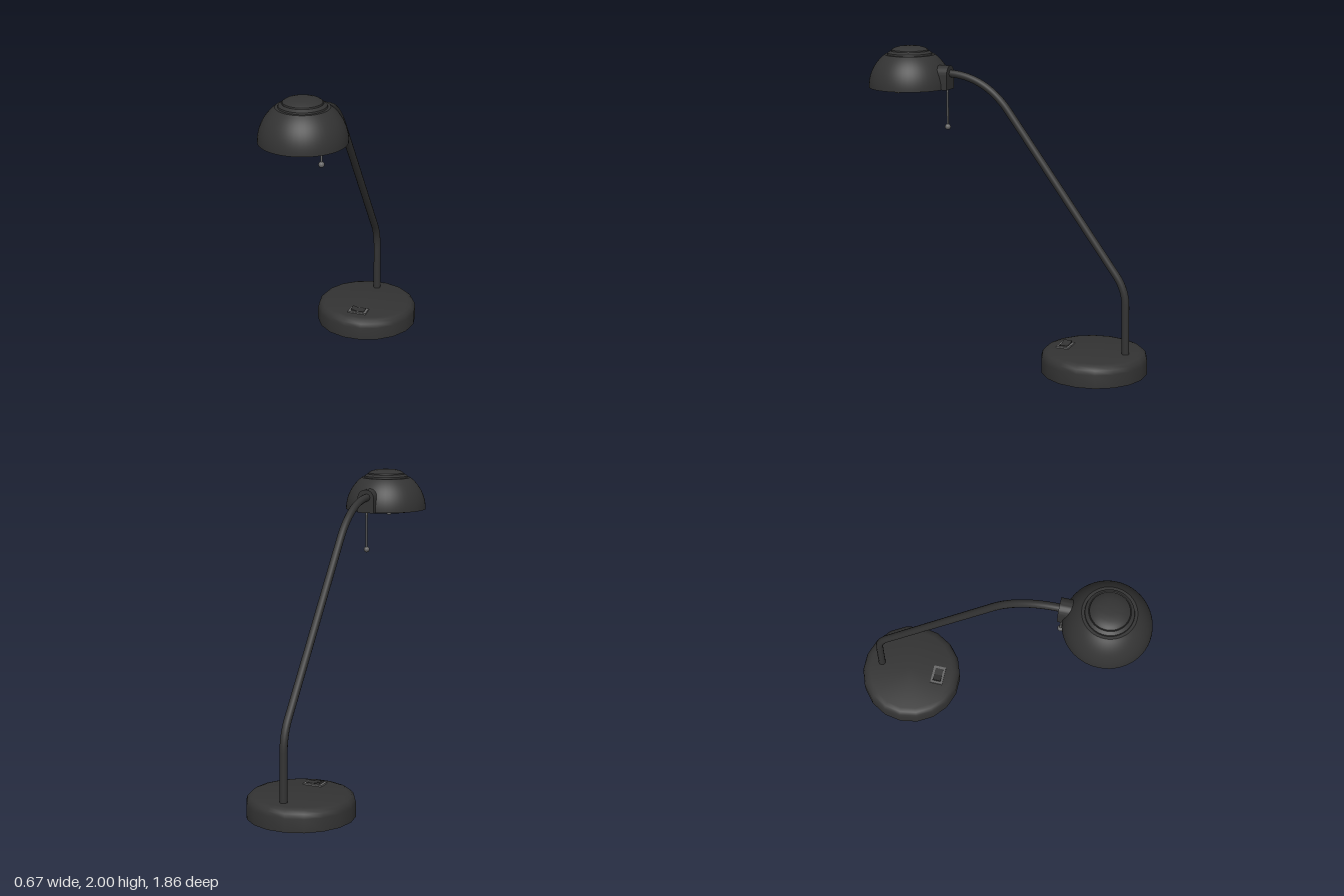
import * as THREE from 'three';
import { toCreasedNormals } from 'three/addons/utils/BufferGeometryUtils.js';

const dark = new THREE.MeshStandardMaterial({ color: 0x333333 });
const darkOpen = new THREE.MeshStandardMaterial({ color: 0x333333, side: THREE.DoubleSide });
const black = new THREE.MeshStandardMaterial({ color: 0x060606 });
const grey = new THREE.MeshStandardMaterial({ color: 0x666666 });

export function createModel() {
  const group = new THREE.Group();

  function add(name, geometry, material, x = 0, y = 0, z = 0) {
    const mesh = new THREE.Mesh(geometry, material);
    mesh.name = name;
    mesh.position.set(x, y, z);
    group.add(mesh);
    return mesh;
  }

  // Turned part from [radius, height] pairs, with a corner on the x axis
  function lathe(profile, sides) {
    const points = profile.map(([r, y]) => new THREE.Vector2(r, y));
    return toCreasedNormals(new THREE.LatheGeometry(points, sides, Math.PI / 2), 0.6);
  }

  // Heavy 18-sided foot with a rounded top edge
  add('base', lathe([
    [0, 0], [0.337, 0], [0.337, 0.085], [0.33, 0.113], [0.312, 0.132], [0.285, 0.14], [0, 0.14],
  ], 18), dark, 0, 0, -0.6);

  // Rocker switch on the foot
  const switchZ = -0.407;
  add('switchPlate', new THREE.BoxGeometry(0.125, 0.012, 0.083), grey, 0, 0.143, switchZ);
  const rockerShape = new THREE.Shape();
  rockerShape.moveTo(-0.045, 0);
  rockerShape.lineTo(0.045, 0);
  rockerShape.lineTo(0.045, 0.008);
  rockerShape.lineTo(0, 0.005);
  rockerShape.lineTo(-0.045, 0.018);
  rockerShape.closePath();
  const rocker = new THREE.ExtrudeGeometry(rockerShape, { depth: 0.054, bevelEnabled: false });
  add('switchRocker', rocker, dark, 0, 0.146, switchZ - 0.027);

  // Bent arm: upright, lower bend, long slope, sweeping upper bend
  const armX = 0.01;
  const p = (z, y) => new THREE.Vector3(armX, y, z);
  const path = new THREE.CurvePath();
  path.add(new THREE.LineCurve3(p(-0.81, 0.12), p(-0.804, 0.45)));
  path.add(new THREE.QuadraticBezierCurve3(p(-0.804, 0.45), p(-0.802, 0.555), p(-0.74, 0.64)));
  path.add(new THREE.LineCurve3(p(-0.74, 0.64), p(-0.02, 1.62)));
  path.add(new THREE.CubicBezierCurve3(p(-0.02, 1.62), p(0.07, 1.742), p(0.2, 1.84), p(0.4, 1.84)));
  add('arm', new THREE.TubeGeometry(path, 90, 0.024, 12), dark);

  // Arched bracket joining the arm and the shade
  const mountX = 0.017;
  const arch = new THREE.Shape();
  arch.moveTo(-0.057, 0);
  arch.lineTo(0.057, 0);
  arch.lineTo(0.057, 0.093);
  arch.absarc(0, 0.093, 0.057, 0, Math.PI, false);
  arch.closePath();
  const mount = new THREE.ExtrudeGeometry(arch, { depth: 0.075, bevelEnabled: false, curveSegments: 12 });
  add('shadeMount', toCreasedNormals(mount, 0.6), dark, mountX, 1.74, 0.375);

  // Domed shade: recessed underside, lip, dome, stepped cap
  const headZ = 0.665;
  const profile = [[0.15, 1.765], [0.243, 1.765], [0.25, 1.74]];
  const domeSteps = 12;
  for (let i = 0; i <= domeSteps; i++) {
    const a = (i / domeSteps) * 0.92;
    profile.push([0.264 * Math.cos(a), 1.74 + 0.26 * Math.sin(a)]);
  }
  profile.push(
    [0.143, 1.947], [0.141, 1.957], [0.122, 1.97], [0.118, 1.968],
    [0.116, 1.977], [0.1, 1.987], [0.07, 1.996], [0.035, 1.999], [0, 2],
  );
  add('shade', lathe(profile, 48), darkOpen, 0, 0, headZ);

  // Dark lens under the shade, held by three clips
  add('lens', new THREE.CylinderGeometry(0.178, 0.178, 0.045, 40), black, 0, 1.749, headZ);
  for (let i = 0; i < 3; i++) {
    const a = (i * Math.PI * 2) / 3;
    const clip = add('lensClip', new THREE.BoxGeometry(0.03, 0.045, 0.026), grey,
      0.174 * Math.cos(a), 1.745, headZ + 0.174 * Math.sin(a));
    clip.rotation.y = -a;
  }

  // Pull cord with a ball end
  const cordZ = 0.395;
  add('pullCord', new THREE.CylinderGeometry(0.007, 0.007, 0.25, 8), grey, mountX, 1.625, cordZ);
  add('pullBall', new THREE.SphereGeometry(0.019, 16, 12), grey, mountX, 1.5, cordZ);

  return group;
}
